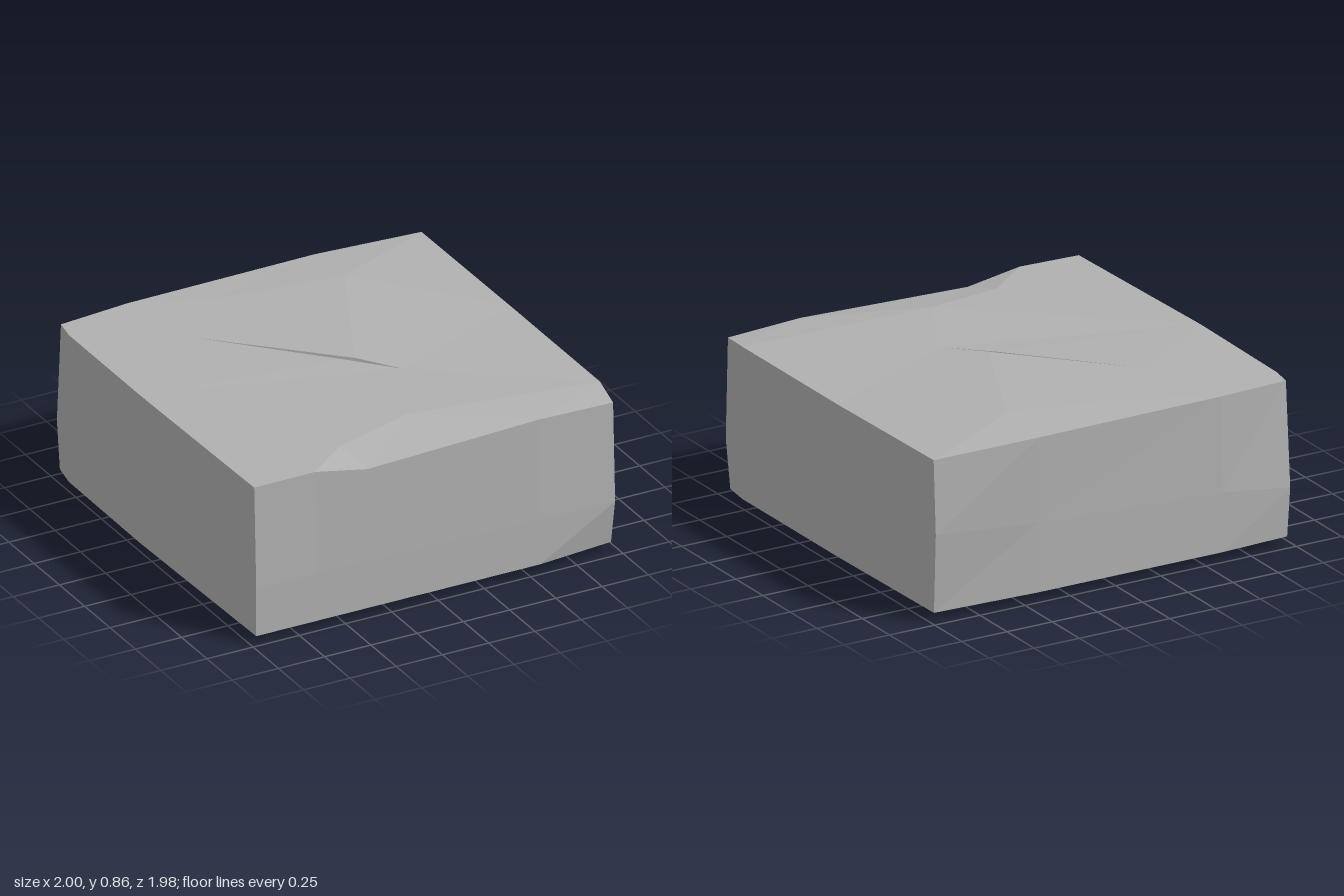
import * as THREE from 'three';

// Roughly cut stone block: three outlines, faceted top and bottom
const topRim = [
  [-0.975, 0.83, 0.965], [-0.65, 0.835, 0.97], [-0.37, 0.785, 0.98], [0.56, 0.815, 0.975],
  [0.965, 0.8, 0.965], [0.995, 0.82, 0.78], [0.995, 0.82, -0.1], [0.985, 0.825, -0.965],
  [0.42, 0.835, -0.99], [-0.6, 0.835, -0.975], [-0.975, 0.83, -0.945], [-0.995, 0.83, -0.83],
  [-1, 0.835, -0.12],
];
// Height of the widest line around the sides
const bulgeY = [0.3, 0.3, 0.3, 0.29, 0.28, 0.35, 0.4, 0.45, 0.4, 0.35, 0.3, 0.3, 0.3];
const bulge = topRim.map(([x, , z], i) => [x, bulgeY[i], Math.abs(z) > 0.9 ? Math.sign(z) * 0.985 : z]);
// Lower outline, drawn in at the worn corners
const bottomRim = bulge.map(([x, , z]) => [x, 0.045, z]);
bottomRim[4] = [0.97, 0.04, 0.935];
bottomRim[7] = [0.98, 0.045, -0.96];
bottomRim[10] = [-0.97, 0.045, -0.965];

// Inner points of the top
const P = [0.01, 0.855, 0.69], Q = [0.42, 0.86, -0.69], V = [-0.22, 0.845, -0.8], S = [-0.42, 0.83, 0.79];
// Crack: two ends, two lips and its floor
const A = [-0.48, 0.84, -0.49], B = [0.22, 0.84, 0.25];
const L = [0.025, 0.845, 0.05], R = [0.065, 0.85, 0.06], D = [0.045, 0.8, 0.06];

// Inner points of the underside
const E = [0.49, 0.02, 0.49], G = [0.3, 0.01, -0.35], H = [-0.6, 0.02, -0.6], F = [-0.55, 0, 0.22];
const K = [0, 0.03, 0];

function facetMesh(name, triangles, material) {
  const geometry = new THREE.BufferGeometry();
  geometry.setAttribute('position', new THREE.Float32BufferAttribute(triangles.flat(2), 3));
  geometry.computeVertexNormals();
  const mesh = new THREE.Mesh(geometry, material);
  mesh.name = name;
  return mesh;
}

function topFaces() {
  const t = topRim;
  return [
    // front dent
    [t[0], t[1], t[12]], [t[1], S, t[12]], [S, P, t[12]], [t[1], t[2], S], [t[2], P, S], [t[2], t[3], P],
    // right side
    [t[3], t[4], t[5]], [t[3], t[5], P], [P, t[5], B], [t[5], t[6], B], [B, t[6], Q], [t[6], t[7], Q],
    // back and left
    [Q, t[7], t[8]], [Q, t[8], V], [V, t[8], t[9]], [V, t[9], A], [t[9], t[10], t[11]],
    [t[9], t[11], A], [t[11], t[12], A], [t[12], P, B],
    // around the crack
    [A, t[12], L], [t[12], B, L], [A, R, Q], [R, B, Q], [A, Q, V],
    // crack walls
    [A, L, D], [L, B, D], [A, D, R], [D, B, R],
  ];
}

function sideFaces() {
  const faces = [];
  for (const [low, high] of [[bottomRim, bulge], [bulge, topRim]]) {
    low.forEach((a, i) => {
      const j = (i + 1) % low.length;
      faces.push([a, low[j], high[j]], [a, high[j], high[i]]);
    });
  }
  return faces;
}

function bottomFaces() {
  // The inner point that each rim edge runs to
  const hubs = [F, F, E, E, E, E, G, G, H, H, H, F, F];
  const faces = [];
  hubs.forEach((hub, i) => {
    const j = (i + 1) % hubs.length;
    faces.push([bottomRim[j], bottomRim[i], hub]);
    if (hub !== hubs[j]) faces.push([bottomRim[j], hub, hubs[j]], [K, hubs[j], hub]);
  });
  return faces;
}

export function createModel() {
  const stone = new THREE.MeshStandardMaterial({ color: 0xb0b0b0 });
  stone.name = 'grey stone';
  const group = new THREE.Group();
  group.name = 'stoneBlock';
  group.add(
    facetMesh('topSurface', topFaces(), stone),
    facetMesh('sides', sideFaces(), stone),
    facetMesh('underside', bottomFaces(), stone),
  );
  return group;
}
